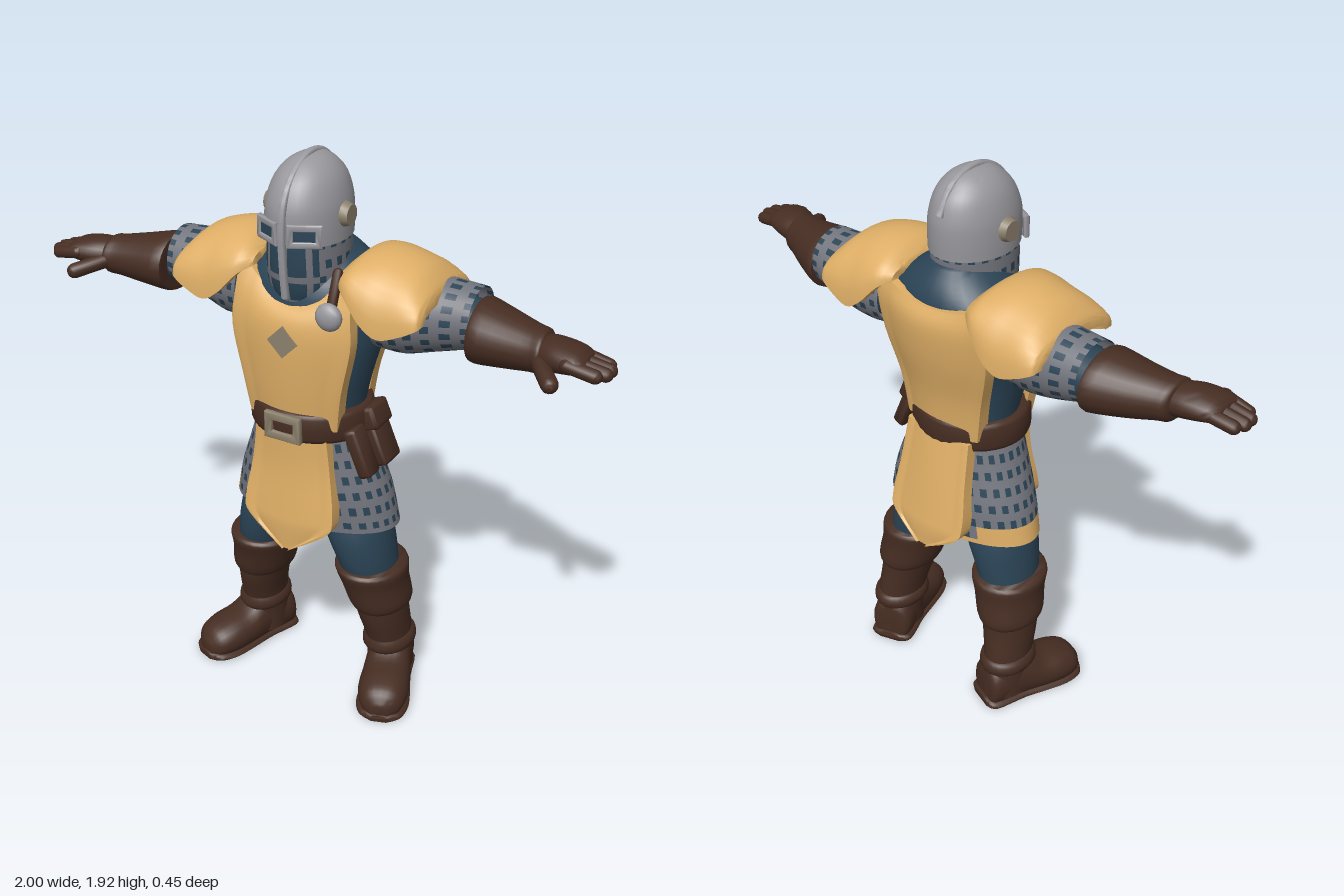
import * as THREE from 'three';
import { toCreasedNormals } from 'three/addons/utils/BufferGeometryUtils.js';
import { RoundedBoxGeometry } from 'three/addons/geometries/RoundedBoxGeometry.js';

const mat = (name, color) => {
  const m = new THREE.MeshStandardMaterial({ color, side: THREE.DoubleSide });
  m.name = name;
  return m;
};

// Resample rows of numbers with a smooth curve, n steps per gap
function smooth(rows, n) {
  const out = [];
  for (let i = 0; i < rows.length - 1; i++) {
    const p = rows[Math.max(i - 1, 0)], a = rows[i], b = rows[i + 1], q = rows[Math.min(i + 2, rows.length - 1)];
    for (let k = 0; k < n; k++) {
      const t = k / n;
      out.push(a.map((v, c) => {
        const cubic = 3 * (v - b[c]) + q[c] - p[c];
        const square = 2 * p[c] - 5 * v + 4 * b[c] - q[c];
        return v + 0.5 * t * (b[c] - p[c] + t * (square + t * cubic));
      }));
    }
  }
  out.push(rows[rows.length - 1]);
  return out;
}

// Join closed sections (even point count) into a surface; pick gives a material index per cell
function skin(sections, pick = () => 0, caps = true) {
  const n = sections[0].length, idx = [[], [], []], last = (sections.length - 1) * n;
  for (let i = 0; i < sections.length - 1; i++) for (let j = 0; j < n; j++) {
    const a = i * n + j, b = i * n + (j + 1) % n;
    idx[pick(i, j)].push(a, a + n, b, a + n, b + n, b);
  }
  if (caps) for (let j = 0; j < n / 2 - 1; j++) {
    const a = j, b = j + 1, c = n - 2 - j, d = n - 1 - j;
    idx[0].push(a, b, d, b, c, d);
    idx[0].push(last + b, last + a, last + d, last + c, last + b, last + d);
  }
  const g = new THREE.BufferGeometry();
  g.setAttribute('position', new THREE.Float32BufferAttribute(sections.flat(2), 3));
  g.setIndex(idx.flat());
  let start = 0;
  idx.forEach((l, k) => { if (l.length) g.addGroup(start, l.length, k); start += l.length; });
  return g;
}

const ring = (n, f) => Array.from({ length: n }, (_, j) => f(Math.cos(j / n * 2 * Math.PI), Math.sin(j / n * 2 * Math.PI)));
// Upright rows [y, x, z, halfWidth, halfDepth]
const upright = (rows, steps = 4, n = 28, pick, caps) => skin(smooth(rows, steps).map(([y, x, z, a, b]) =>
  ring(n, (c, s) => [x + a * c, y, z + b * s])), pick, caps);
// Sideways rows [x, y, z, halfHeight, halfDepth]
const sideways = (rows, steps = 4, n = 24, pick, caps) => skin(smooth(rows, steps).map(([x, y, z, a, b]) =>
  ring(n, (c, s) => [x, y + a * s, z + b * c])), pick, caps);
// Cloth panel rows [y, halfWidth, z, edgeBend, centreDip] with a raised border
function panel(rows, thick) {
  const m = 20;
  return skin(smooth(rows, 4).map(([y, w, z, bend, dip]) => {
    const side = dir => Array.from({ length: m + 1 }, (_, k) => {
      const s = dir * (1 - 2 * k / m), half = thick * (Math.abs(s) > 0.85 ? 0.8 : 0.5);
      return [w * s, y - dip * (1 - s * s), z - bend * s * s + dir * half];
    });
    return [...side(1), ...side(-1)];
  }));
}
// Rectangular frame, centred on its origin
function frame(w, h, bar, depth) {
  const rect = (T, a, b) => new T([[-a, -b], [a, -b], [a, b], [-a, b]].map(p => new THREE.Vector2(...p)));
  const s = rect(THREE.Shape, w / 2, h / 2);
  s.holes.push(rect(THREE.Path, w / 2 - bar, h / 2 - bar));
  return new THREE.ExtrudeGeometry(s, { depth, bevelEnabled: true, bevelSize: 0.003, bevelThickness: 0.003, bevelSegments: 1 });
}
function capsule(from, to, r) {
  const a = new THREE.Vector3(...from), d = new THREE.Vector3(...to).sub(a);
  const q = new THREE.Quaternion().setFromUnitVectors(new THREE.Vector3(0, 1, 0), d.clone().normalize());
  return new THREE.CapsuleGeometry(r, d.length(), 5, 12).applyQuaternion(q).translate(...a.addScaledVector(d, 0.5).toArray());
}
// Mirror across x = 0, keeping faces outward
function mirrored(geo) {
  const g = geo.index ? geo.toNonIndexed() : geo.clone(), p = g.attributes.position, v = [0, 1, 2].map(() => new THREE.Vector3());
  for (let i = 0; i < p.count; i += 3) {
    v.forEach((u, k) => u.fromBufferAttribute(p, i + k));
    [0, 2, 1].forEach((k, j) => p.setXYZ(i + j, -v[k].x, v[k].y, v[k].z));
  }
  return g;
}

export function createModel() {
  const root = new THREE.Group();
  root.name = 'armouredGuard';
  const gold = mat('goldCloth', 0xdeae66), blue = mat('blueCloth', 0x2b4456), leather = mat('brownLeather', 0x462d22);
  const steel = mat('helmetSteel', 0x98989d), mail = mat('mailGrey', 0x74767e), brass = mat('dullBrass', 0x8c806c);
  const add = (name, geo, m) => {
    const mesh = new THREE.Mesh(toCreasedNormals(geo, 0.9), m);
    mesh.name = name;
    root.add(mesh);
  };
  const pair = (name, geo, m) => {
    add(name + 'Left', geo, m);
    add(name + 'Right', mirrored(geo), m);
  };
  // Mail: solid bands alternating with rows of staggered slots
  const links = (i, j) => (i % 2 === 1 && (j + (i % 4 === 1 ? 0 : 1)) % 2 === 0 ? 1 : 0);

  // Torso and tabard
  add('torso', upright([[0.95, 0, 0, 0.17, 0.13], [1.1, 0, 0.015, 0.178, 0.145], [1.25, 0, 0.02, 0.212, 0.16],
    [1.4, 0, 0, 0.25, 0.18], [1.52, 0, -0.01, 0.25, 0.17], [1.59, 0, -0.02, 0.16, 0.135], [1.64, 0, -0.01, 0.09, 0.1]]), blue);
  add('chestTabard', panel([[1.06, 0.16, 0.178, 0.05, 0], [1.2, 0.18, 0.193, 0.05, 0], [1.36, 0.212, 0.2, 0.055, 0],
    [1.47, 0.205, 0.185, 0.05, 0.03], [1.59, 0.2, 0.14, 0.04, 0.11]], 0.028), gold);
  add('backTabard', panel([[1.06, 0.15, -0.135, -0.045, 0], [1.2, 0.17, -0.15, -0.05, 0], [1.36, 0.21, -0.185, -0.06, 0],
    [1.49, 0.22, -0.197, -0.055, 0.01], [1.575, 0.21, -0.175, -0.035, 0.04]], 0.028), gold);
  add('chestPatch', new THREE.BoxGeometry(0.075, 0.075, 0.009).rotateZ(Math.PI / 4).translate(0, 1.36, 0.212), brass);
  add('frontSkirtPanel', panel([[0.6, 0.012, 0.19, 0, 0], [0.69, 0.145, 0.195, 0.02, 0], [0.75, 0.166, 0.19, 0.025, 0],
    [0.9, 0.145, 0.175, 0.03, 0], [1.05, 0.128, 0.175, 0.03, 0]], 0.03), gold);
  add('backSkirtPanel', panel([[0.63, 0.02, -0.205, 0, 0], [0.7, 0.135, -0.205, -0.02, 0], [0.76, 0.155, -0.195, -0.025, 0],
    [0.9, 0.14, -0.17, -0.03, 0], [1.05, 0.13, -0.14, -0.03, 0]], 0.03), gold);

  // Mail skirt with a cloth hem along the right and rear
  const hemmed = (i, j) => (j > 25 && j < 48 && i < (j < 39 ? 3 : 1) ? 2 : links(i, j));
  add('mailSkirt', upright([[0.675, 0, -0.005, 0.305, 0.165], [0.8, 0, 0, 0.275, 0.17], [0.94, 0, 0.01, 0.225, 0.16],
    [1.07, 0, 0.015, 0.185, 0.15]], 5, 60, hemmed, false), [mail, blue, gold]);

  // Belt, buckle and pouches
  add('belt', upright([[1.015, 0, 0.025, 0.2, 0.178], [1.03, 0, 0.027, 0.208, 0.186], [1.1, 0, 0.027, 0.205, 0.186],
    [1.115, 0, 0.027, 0.195, 0.178]], 2, 40), leather);
  add('buckle', frame(0.125, 0.085, 0.02, 0.016).translate(0, 1.065, 0.206), brass);
  const pouch = (w, h, d, x, y, z) => new RoundedBoxGeometry(w, h, d, 2, 0.014).rotateZ(0.4).translate(x, y, z);
  add('frontPouch', pouch(0.05, 0.17, 0.075, 0.222, 0.985, 0.1), leather);
  add('sidePouch', pouch(0.05, 0.19, 0.105, 0.23, 1.0, -0.005), leather);
  add('pouchFlap', pouch(0.06, 0.08, 0.112, 0.212, 1.07, -0.005), leather);

  // Legs and boots
  pair('leg', upright([[0.42, 0.215, -0.02, 0.09, 0.1], [0.52, 0.2, -0.005, 0.098, 0.12], [0.62, 0.172, 0, 0.112, 0.13],
    [0.7, 0.147, 0, 0.12, 0.122], [0.78, 0.125, 0, 0.12, 0.115], [0.92, 0.09, 0, 0.1, 0.11]]), blue);
  pair('bootShaft', upright([[0.04, 0.262, -0.075, 0.078, 0.1], [0.12, 0.26, -0.075, 0.078, 0.095], [0.2, 0.258, -0.062, 0.076, 0.1],
    [0.3, 0.245, -0.04, 0.085, 0.108], [0.4, 0.228, -0.03, 0.095, 0.115]]), leather);
  pair('bootCuff', upright([[0.335, 0.24, -0.035, 0.092, 0.115], [0.36, 0.237, -0.032, 0.108, 0.125], [0.44, 0.22, -0.018, 0.115, 0.13],
    [0.495, 0.212, -0.01, 0.124, 0.14], [0.51, 0.21, -0.01, 0.115, 0.13]], 3), leather);
  pair('ankleStrap', upright([[0.145, 0.26, -0.068, 0.08, 0.1], [0.16, 0.26, -0.066, 0.09, 0.11], [0.185, 0.26, -0.066, 0.088, 0.108],
    [0.2, 0.26, -0.062, 0.076, 0.1]], 2), leather);
  // Foot rows [z, halfWidth, height], turned outward
  const foot = (rows, base) => skin(smooth(rows, 4).map(([z, w, h]) => ring(24, (c, s) =>
    [w * Math.sign(s) * Math.abs(s) ** 0.8, base + Math.max(0, h * (0.4 + 0.6 * c)), z])))
    .rotateY(0.34).translate(0.265, 0, -0.07);
  pair('bootFoot', foot([[-0.1, 0.045, 0.1], [-0.08, 0.075, 0.15], [0.03, 0.078, 0.17], [0.11, 0.085, 0.125], [0.19, 0.088, 0.11],
    [0.25, 0.07, 0.09], [0.28, 0.03, 0.05]], 0.015), leather);
  pair('bootSole', foot([[-0.11, 0.05, 0.028], [-0.085, 0.08, 0.03], [0.03, 0.079, 0.03], [0.12, 0.088, 0.03], [0.2, 0.092, 0.03],
    [0.26, 0.075, 0.03], [0.285, 0.035, 0.025]], 0), leather);

  // Shoulder pads: arches [x, topY, baseY, halfDepth]
  const arch = ([x, top, base, r]) => {
    const arc = (a, b, flip) => Array.from({ length: 19 }, (_, k) => {
      const t = (flip ? 18 - k : k) / 18 * Math.PI;
      return [x, base + a * Math.max(0, Math.sin(t)) ** 0.8, -0.015 + b * Math.cos(t)];
    });
    return [...arc(top - base, r, false), ...arc(top - base - 0.03, r - 0.03, true)];
  };
  pair('shoulderPad', skin(smooth([[0.15, 1.6, 1.555, 0.155], [0.19, 1.633, 1.53, 0.188], [0.25, 1.645, 1.465, 0.205],
    [0.31, 1.638, 1.43, 0.205], [0.38, 1.612, 1.452, 0.2], [0.425, 1.572, 1.475, 0.192], [0.437, 1.55, 1.482, 0.18]], 4).map(arch)), gold);

  // Arms: mail sleeve, cloth, gauntlet
  pair('mailSleeve', sideways([[0.24, 1.44, -0.02, 0.12, 0.13], [0.32, 1.44, -0.03, 0.13, 0.125], [0.42, 1.45, -0.045, 0.118, 0.112],
    [0.54, 1.465, -0.045, 0.096, 0.1]], 4, 32, links, false), [mail, blue]);
  pair('arm', sideways([[0.2, 1.44, -0.02, 0.12, 0.12], [0.4, 1.445, -0.04, 0.085, 0.09], [0.6, 1.445, -0.035, 0.076, 0.085]]), blue);
  pair('gauntletCuff', sideways([[0.548, 1.438, -0.025, 0.088, 0.105], [0.56, 1.438, -0.025, 0.1, 0.122], [0.66, 1.436, -0.005, 0.084, 0.1],
    [0.74, 1.437, 0.015, 0.07, 0.08], [0.775, 1.438, 0.025, 0.066, 0.076], [0.785, 1.438, 0.03, 0.05, 0.06]], 3), leather);
  pair('palm', sideways([[0.76, 1.44, 0.028, 0.05, 0.06], [0.82, 1.447, 0.042, 0.05, 0.074], [0.89, 1.45, 0.055, 0.038, 0.074],
    [0.92, 1.446, 0.06, 0.022, 0.06]]), leather);
  [[0.005, 0.965], [0.043, 0.979], [0.081, 0.977], [0.112, 0.955]].forEach(([z, x], k) =>
    pair('finger' + (k + 1), capsule([0.87, 1.452, z], [x, 1.435, z * 0.85 + 0.012], 0.021), leather));
  pair('thumb', capsule([0.78, 1.43, 0.085], [0.845, 1.408, 0.165], 0.026), leather);

  // Mail hood, mostly open over the face
  const hoodLinks = (i, j) => (j > 4 && j < 16 && i > 0 ? (j % 4 === 2 || i % 6 === 5 ? 0 : 1) : links(i, j));
  add('mailHood', upright([[1.48, 0, 0.055, 0.1, 0.115], [1.53, 0, 0.045, 0.125, 0.14], [1.62, 0, 0.043, 0.126, 0.152],
    [1.76, 0, 0.043, 0.115, 0.148]], 4, 42, hoodLinks, false), [mail, blue]);

  // Helmet
  add('helmetDome', upright([[1.665, 0, 0.043, 0.128, 0.16], [1.72, 0, 0.043, 0.128, 0.163], [1.78, 0, 0.042, 0.123, 0.16],
    [1.84, 0, 0.038, 0.105, 0.138], [1.88, 0, 0.035, 0.078, 0.102], [1.905, 0, 0.032, 0.042, 0.06], [1.914, 0, 0.03, 0.002, 0.002]], 4, 36), steel);
  const crest = new THREE.CatmullRomCurve3([[1.5, 0.19], [1.6, 0.202], [1.72, 0.208], [1.8, 0.194], [1.87, 0.14], [1.912, 0.04],
    [1.88, -0.062], [1.8, -0.115]].map(([y, z]) => new THREE.Vector3(0, y, z)));
  add('helmetCrest', new THREE.TubeGeometry(crest, 40, 0.013, 8), steel);
  const onFace = g => g.rotateY(0.48).translate(0.06, 1.703, 0.177);
  pair('eyeFrame', onFace(frame(0.1, 0.066, 0.014, 0.012)), steel);
  pair('eyeOpening', onFace(new THREE.BoxGeometry(0.08, 0.045, 0.008).translate(0, 0, 0.007)), blue);
  pair('earDisc', new THREE.CylinderGeometry(0.032, 0.04, 0.024, 16).rotateZ(-Math.PI / 2).translate(0.134, 1.743, 0.045), brass);

  // Brooch and its strap
  add('brooch', new THREE.SphereGeometry(0.045, 18, 12).scale(1, 1, 0.6).translate(0.15, 1.468, 0.19), steel);
  add('broochStrap', capsule([0.15, 1.5, 0.17], [0.145, 1.585, 0.125], 0.016), leather);
  return root;
}
